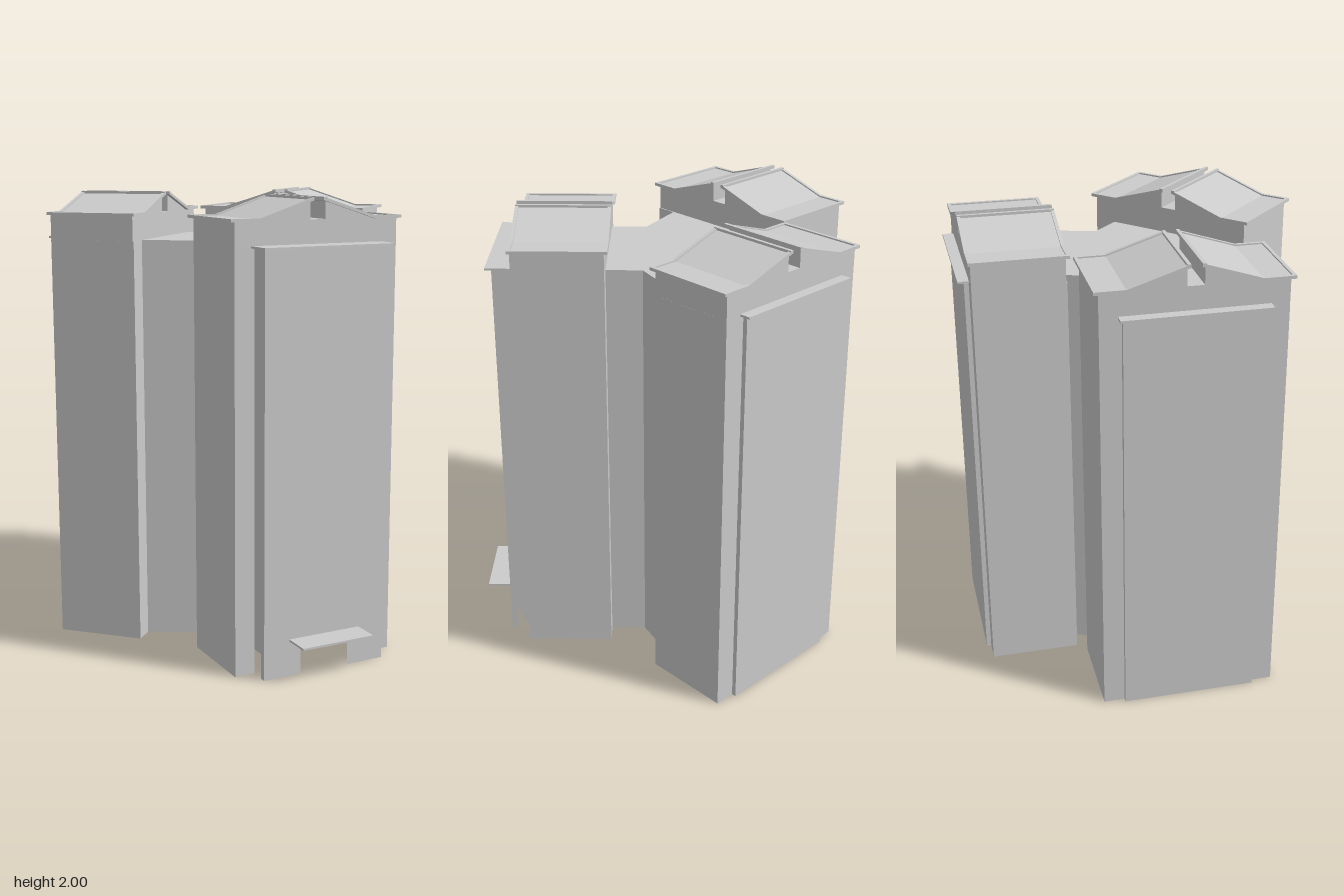
import * as THREE from 'three';

const mat = new THREE.MeshStandardMaterial({ color: 0xcccccc, flatShading: true, side: THREE.DoubleSide });
const EAVE = 1.91, SHELL = 1.8;

function mesh(geometry, name, parent) {
  const m = new THREE.Mesh(geometry, mat);
  m.name = name;
  parent.add(m);
  return m;
}

const shapeOf = (pts) => new THREE.Shape(pts.map(([x, y]) => new THREE.Vector2(x, y)));

// Extrudes an x/y profile from z0 to z1
function extrude(pts, z0, z1) {
  return new THREE.ExtrudeGeometry(shapeOf(pts), { depth: z1 - z0, bevelEnabled: false }).translate(0, 0, z0);
}

function box(x0, x1, y0, y1, z0, z1) {
  return new THREE.BoxGeometry(x1 - x0, y1 - y0, z1 - z0)
    .translate((x0 + x1) / 2, (y0 + y1) / 2, (z0 + z1) / 2);
}

// Upright wall between two plan points, with an optional opening [start, end, height] at the ground
function wall(a, b, opening) {
  const dx = b[0] - a[0], dz = b[1] - a[1], len = Math.hypot(dx, dz);
  const pts = [[0, 0]];
  if (opening) {
    const [s, e, h] = opening;
    pts.push([s, 0], [s, h], [e, h], [e, 0]);
  }
  pts.push([len, 0], [len, SHELL], [0, SHELL]);
  return new THREE.ShapeGeometry(shapeOf(pts))
    .rotateY(Math.atan2(-dz, dx)).translate(a[0], 0, a[1]);
}

// Raised gable, two flared roof panels and the bay cap, facing local +z
function wingTop(name, bayFront) {
  const g = new THREE.Group();
  g.name = name;
  const half = [[0.035, EAVE], [0.035, 1.982], [0.27, EAVE], [0.38, EAVE], [0.38, SHELL]];
  const mirrored = half.map(([x, y]) => [-x, y]).reverse();
  mesh(extrude([...mirrored, ...half], 0.225, 0.61), 'gableBlock', g);

  for (const s of [1, -1]) {
    const band = (x0, y0, y1) => [
      [x0, 1.99 + y0], [0.27, EAVE + y0], [0.4, EAVE + y0],
      [0.4, EAVE + y1], [0.27, EAVE + y1], [x0, 1.99 + y1],
    ].map(([x, y]) => [s * x, y]);
    mesh(extrude(band(0.022, -0.003, 0.004), 0.21, 0.62), 'roofPanel', g);
    // Raised rim around each panel
    for (const z of [0.21, 0.605]) mesh(extrude(band(0.022, 0.004, 0.01), z, z + 0.015), 'roofRim', g);
    const edges = [[0.022, 0.037, 1.985, 2.0], [0.385, 0.4, EAVE, EAVE + 0.01]];
    for (const [x0, x1, y0, y1] of edges) {
      const cx = s * (x0 + x1) / 2, w = (x1 - x0) / 2;
      mesh(box(cx - w, cx + w, y0, y1, 0.21, 0.62), 'roofEdge', g);
    }
  }
  // Thin ledge covering the projecting bay
  mesh(box(-0.305, 0.305, SHELL + 0.002, SHELL + 0.011, 0.602, bayFront + 0.027), 'bayCap', g);
  return g;
}

export function createModel() {
  const model = new THREE.Group();
  model.name = 'towerBlock';

  // Half floor plan: rear wing in (outward, sideways) distances along the diagonal, then the front wing
  const r = Math.SQRT1_2;
  const rear = [
    [0.39, -0.26], [0.39, -0.35], [0.78, -0.35], [0.78, -0.26], [0.8, -0.26],
    [0.8, 0.317], [0.78, 0.317], [0.78, 0.41], [0.39, 0.41], [0.39, 0.318],
  ].map(([d, t]) => [r * (d + t), r * (t - d)]);
  const front = [[0.285, 0.07], [0.285, 0.225], [0.38, 0.225], [0.38, 0.61], [0.29, 0.61], [0.29, 0.7]];
  const half = [...rear, ...front];
  const plan = [[0, -0.425], ...half, ...half.map(([x, z]) => [-x, z]).reverse()];

  // Outer walls, open underneath; doorways in the front bay
  const n = plan.length, bay = half.length;
  const openings = {
    [bay - 1]: [0.03, 0.09, 0.11],
    [bay]: [0.175, 0.405, 0.153],
    [bay + 1]: [0, 0.06, 0.11],
  };
  for (let i = 0; i < n; i++) {
    mesh(wall(plan[(i + 1) % n], plan[i], openings[i]), openings[i] ? 'doorWall' : 'wall', model);
  }
  const roof = new THREE.ShapeGeometry(shapeOf(plan.map(([x, z]) => [x, -z])));
  mesh(roof.rotateX(-Math.PI / 2).translate(0, SHELL, 0), 'flatRoof', model);

  // Wing tops: one to the front, two on the rear diagonals
  model.add(wingTop('frontWingTop', 0.7));
  for (const s of [1, -1]) {
    const top = wingTop(s > 0 ? 'leftRearWingTop' : 'rightRearWingTop', 0.63);
    top.rotation.y = s * Math.PI * 0.75;
    top.position.set(s * 0.141, 0, -0.099);
    model.add(top);
  }

  // Entrance canopy
  mesh(box(-0.17, 0.17, 0.154, 0.163, 0.7, 0.82), 'entranceCanopy', model);
  return model;
}
